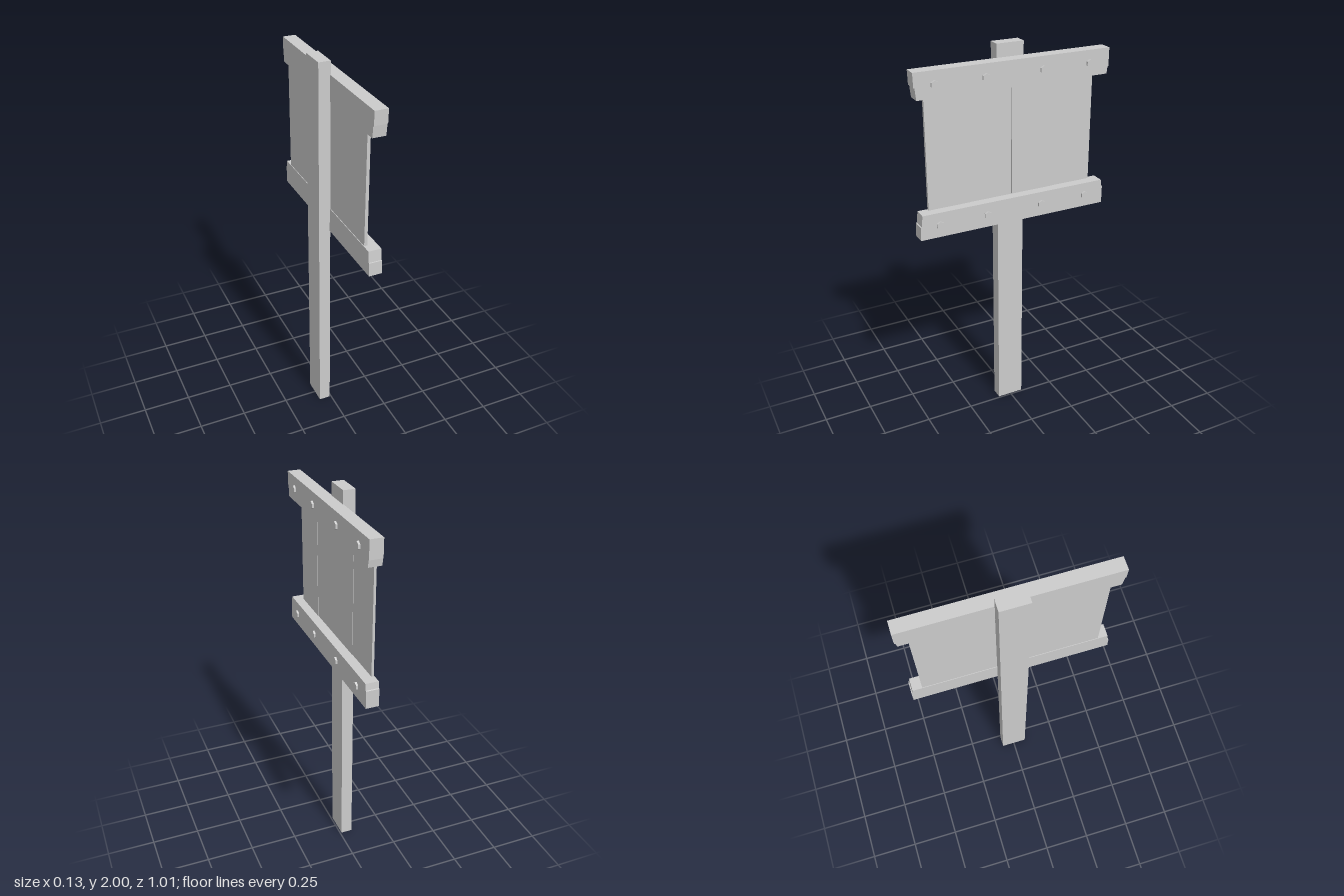
import * as THREE from 'three';

const material = new THREE.MeshStandardMaterial({ color: 0xcccccc, flatShading: true });

function add(parent, name, geometry) {
  const mesh = new THREE.Mesh(geometry, material);
  mesh.name = name;
  parent.add(mesh);
  return mesh;
}

// Box given by its lower and upper corners
function boxBetween(a, b) {
  const g = new THREE.BoxGeometry(b[0] - a[0], b[1] - a[1], b[2] - a[2]);
  return g.translate((a[0] + b[0]) / 2, (a[1] + b[1]) / 2, (a[2] + b[2]) / 2);
}

// Rail with rough-cut ends; y measured from its middle, the wide side is up
function railGeometry(flip) {
  const outline = [
    [0.509, 0.064], [0.507, -0.005], [0.502, -0.006], [0.496, -0.064],
    [-0.495, -0.064], [-0.499, -0.03], [-0.504, -0.028], [-0.504, 0.064],
  ].map(([z, y]) => new THREE.Vector2(-z, y * flip));
  const g = new THREE.ExtrudeGeometry(new THREE.Shape(outline), { depth: 0.066, bevelEnabled: false });
  return g.rotateY(Math.PI / 2).translate(-0.011, 0, 0);
}

export function createModel() {
  const model = new THREE.Group();
  model.name = 'signpost';

  // Upright post
  add(model, 'post', boxBetween([-0.069, 0, -0.07], [-0.008, 2, 0.071]));

  // Upright planks, each set at a slightly different depth
  const planks = [
    [0.224, 0.446, 0.008], [0.002, 0.224, 0.006],
    [-0.227, -0.002, 0.006], [-0.446, -0.227, 0.004],
  ];
  const board = new THREE.Group();
  board.name = 'board';
  model.add(board);
  for (const [z0, z1, front] of planks) {
    add(board, 'plank', boxBetween([-0.008, 1.18, z0], [front, 1.87, z1]));
  }

  // Rails across the planks, the lower one upside down, each with four bolts
  const boltGeometry = new THREE.CylinderGeometry(0.02, 0.02, 0.02, 6)
    .rotateY(Math.PI / 6).rotateZ(-Math.PI / 2);
  for (const [name, y, flip] of [['upperRail', 1.87, 1], ['lowerRail', 1.18, -1]]) {
    const rail = new THREE.Group();
    rail.name = name;
    rail.position.y = y;
    model.add(rail);
    add(rail, 'railBeam', railGeometry(flip));
    for (const z of [0.408, 0.155, -0.143, -0.396]) {
      add(rail, 'bolt', boltGeometry).position.set(0.055, 0, z);
    }
  }
  return model;
}
